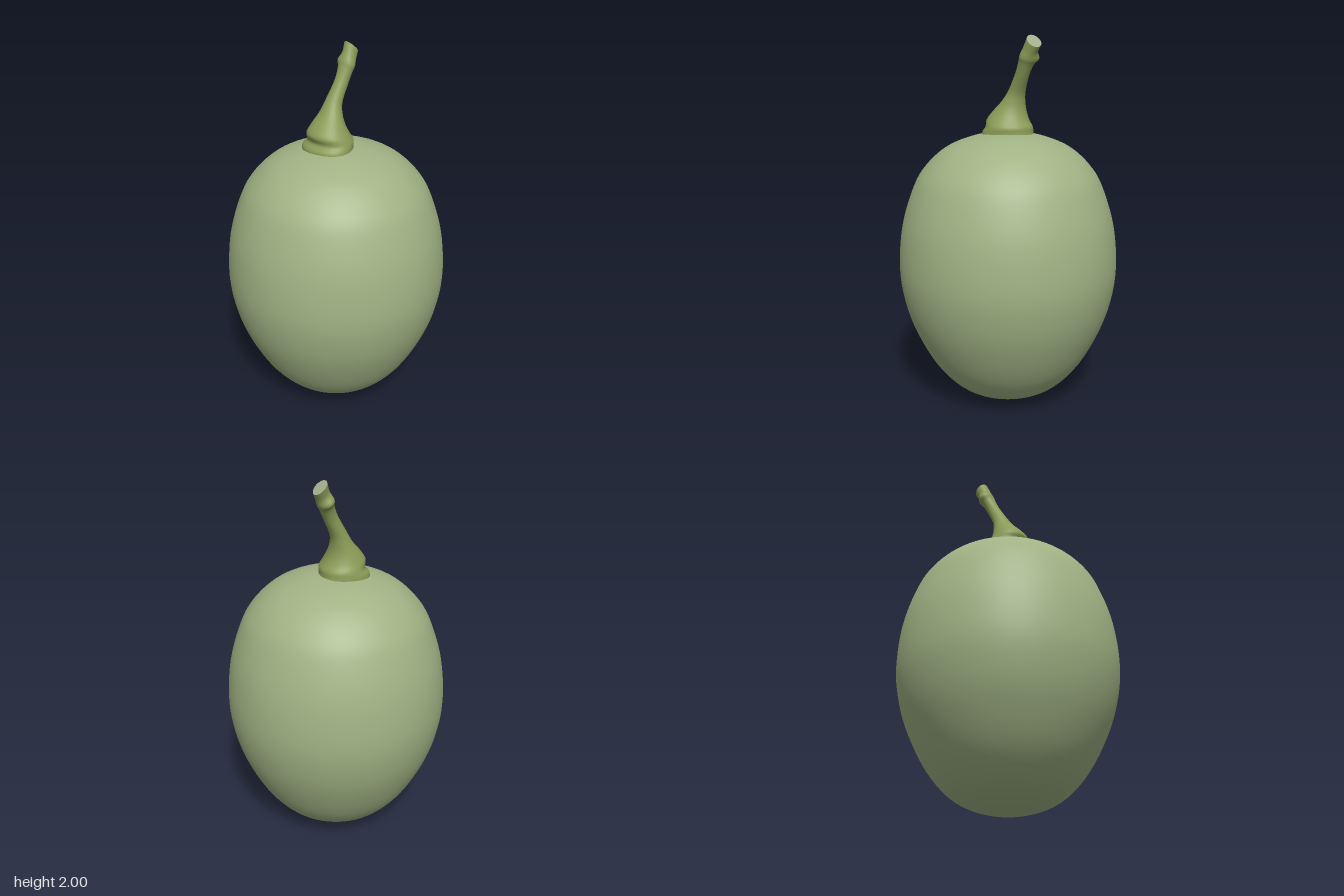
import * as THREE from 'three';

const mat = (name, color, side = THREE.FrontSide) => {
  const m = new THREE.MeshStandardMaterial({ color, side });
  m.name = name;
  return m;
};

// Stem rings: centre x, y, z, half width x, half depth z, tilt (dy/dx)
const RINGS = [
  [-0.03, 1.455, -0.02, 0.135, 0.143, 0],
  [-0.03, 1.49, -0.02, 0.13, 0.14, 0],
  [-0.018, 1.52, -0.02, 0.116, 0.13, 0],
  [-0.032, 1.555, -0.02, 0.112, 0.116, -0.05],
  [-0.025, 1.6, -0.027, 0.086, 0.092, -0.08],
  [-0.005, 1.65, -0.036, 0.059, 0.066, -0.12],
  [0.02, 1.71, -0.044, 0.043, 0.046, -0.2],
  [0.07, 1.8, -0.048, 0.035, 0.037, -0.35],
  [0.1, 1.86, -0.055, 0.034, 0.043, -0.5],
  [0.115, 1.89, -0.065, 0.037, 0.055, -0.6],
  [0.131, 1.925, -0.062, 0.033, 0.04, -0.75],
  [0.152, 1.97, -0.071, 0.033, 0.039, -0.92],
];
const SEG = 32, STEPS = 55;

function ringPoints(centres, sizes, t) {
  const c = centres.getPoint(t), s = sizes.getPoint(t), pts = [];
  const lobes = 0.05 * Math.max(0, 1 - t * 2);
  for (let i = 0; i < SEG; i++) {
    const a = (i / SEG) * Math.PI * 2;
    const r = 1 + lobes * Math.cos(3 * a + 0.9);
    const dx = Math.cos(a) * s.x * r;
    pts.push(c.x + dx, c.y + s.z * dx, c.z + Math.sin(a) * s.y * r);
  }
  return pts;
}

function createStem(stemMat, cutMat) {
  const curve = (o) => new THREE.CatmullRomCurve3(
    RINGS.map((r) => new THREE.Vector3(r[o], r[o + 1], r[o + 2])), false, 'catmullrom', 0.5);
  const centres = curve(0), sizes = curve(3);
  const pos = [], idx = [];
  for (let j = 0; j <= STEPS; j++) {
    pos.push(...ringPoints(centres, sizes, j / STEPS));
    if (j === STEPS) break;
    for (let i = 0; i < SEG; i++) {
      const a = j * SEG + i, b = j * SEG + (i + 1) % SEG;
      idx.push(a, a + SEG, b, b, a + SEG, b + SEG);
    }
  }
  const build = (p, ix) => {
    const g = new THREE.BufferGeometry();
    g.setAttribute('position', new THREE.Float32BufferAttribute(p, 3));
    g.setIndex(ix);
    g.computeVertexNormals();
    return g;
  };
  const stalk = new THREE.Mesh(build(pos, idx), stemMat);
  stalk.name = 'stalk';

  // Slanted cut face at the tip
  const capPos = [...ringPoints(centres, sizes, 1), ...centres.getPoint(1).toArray()], capIdx = [];
  for (let i = 0; i < SEG; i++) capIdx.push(SEG, (i + 1) % SEG, i);
  const cut = new THREE.Mesh(build(capPos, capIdx), cutMat);
  cut.name = 'stalkCutFace';

  const stem = new THREE.Group();
  stem.name = 'stem';
  stem.add(stalk, cut);
  return stem;
}

export function createModel() {
  const group = new THREE.Group();
  group.name = 'fruit';
  const skin = mat('fruit skin green', 0xa0b384);
  const stemMat = mat('stem green', 0x8c9c58);
  const cutMat = mat('cut stem pale green', 0xa3ad8a);

  // Egg-shaped body turned from a smooth profile
  const profile = new THREE.SplineCurve([
    [0, 0], [0.14, 0.013], [0.29, 0.08], [0.42, 0.22], [0.525, 0.42], [0.58, 0.6],
    [0.598, 0.78], [0.575, 1.0], [0.512, 1.2], [0.45, 1.305], [0.36, 1.392],
    [0.26, 1.445], [0.13, 1.482], [0, 1.49],
  ].map(([x, y]) => new THREE.Vector2(x, y)));
  const pts = profile.getPoints(60);
  pts.forEach((p) => { p.x = Math.max(0, p.x); p.y = Math.max(0, p.y); });
  const body = new THREE.Mesh(new THREE.LatheGeometry(pts, 64), skin);
  body.name = 'body';

  group.add(body, createStem(stemMat, cutMat));
  return group;
}
